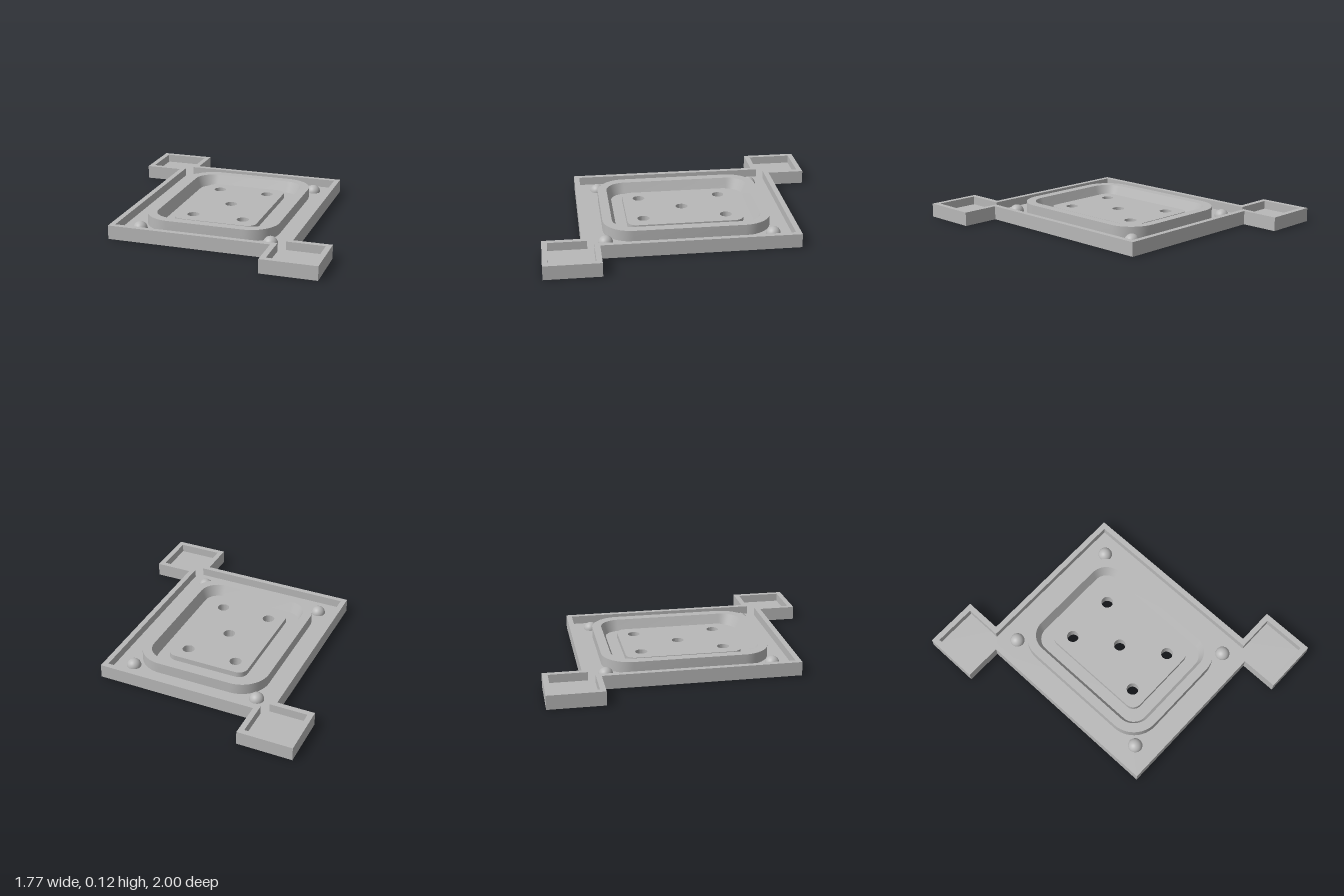
import * as THREE from 'three';
import { toCreasedNormals } from 'three/addons/utils/BufferGeometryUtils.js';

const FLOOR = 0.038, PAD_TOP = 0.076, RIM_TOP = 0.096, RING_TOP = 0.115;
const HOLES = [[0, 0], [-0.18, -0.29], [0.18, -0.29], [-0.18, 0.29], [0.18, 0.29]];

// Half an outline, completed by turning it 180 degrees about the centre
const turned = half => [...half, ...half.map(([x, z]) => [-x, -z])]
  .map(([x, z]) => new THREE.Vector2(x, z));

// Points of a rounded rectangle with half sizes a, b and corner radius r
function roundedRect(a, b, r, steps = 12) {
  const pts = [];
  [[1, 1], [-1, 1], [-1, -1], [1, -1]].forEach(([sx, sz], q) => {
    for (let i = 0; i <= steps; i++) {
      const t = (q + i / steps) * Math.PI / 2;
      pts.push(new THREE.Vector2(sx * (a - r) + r * Math.cos(t), sz * (b - r) + r * Math.sin(t)));
    }
  });
  return pts;
}

// Horizontal slab between two heights
function slab(points, holes, bottom, top) {
  const shape = new THREE.Shape(points);
  shape.holes.push(...holes);
  const geo = new THREE.ExtrudeGeometry(shape, { depth: top - bottom, bevelEnabled: false, curveSegments: 16 });
  geo.rotateX(Math.PI / 2).translate(0, top, 0);
  return toCreasedNormals(geo, 0.5);
}

const drillHoles = () => HOLES.map(([x, z]) => new THREE.Path().absarc(x, z, 0.042, 0, Math.PI * 2, true));

// Raised ring: upright outside, flat top, sloping inside
function ringGeometry() {
  const loops = [[0, FLOOR], [0, RING_TOP], [0.065, RING_TOP], [0.097, FLOOR]].map(([inset, y]) =>
    roundedRect(0.467, 0.58, 0.2 - inset, 12).map(p => {
      const k = new THREE.Vector3(p.x, y, p.y);
      return k;
    }).map((v, i) => {
      const q = roundedRect(0.467 - inset, 0.58 - inset, 0.2 - inset, 12)[i];
      return v.set(q.x, y, q.y);
    }));
  const pos = [], n = loops[0].length;
  for (let l = 0; l < loops.length - 1; l++) {
    for (let i = 0; i < n; i++) {
      const j = (i + 1) % n;
      const a = loops[l][i], b = loops[l][j], c = loops[l + 1][j], d = loops[l + 1][i];
      for (const v of [a, d, b, b, d, c]) pos.push(v.x, v.y, v.z);
    }
  }
  const geo = new THREE.BufferGeometry();
  geo.setAttribute('position', new THREE.Float32BufferAttribute(pos, 3));
  return toCreasedNormals(geo, 0.5);
}

export function createModel() {
  const group = new THREE.Group();
  const grey = new THREE.MeshStandardMaterial({ color: 0xb8b8b8 });
  grey.name = 'plain grey';
  const add = (name, geo) => {
    const mesh = new THREE.Mesh(geo, grey);
    mesh.name = name;
    group.add(mesh);
    return mesh;
  };

  const outer = turned([[-0.887, -0.617], [-0.887, -1], [-0.505, -1], [-0.505, -0.737], [0.625, -0.737], [0.625, 0.617]]);
  const inner = turned([[-0.849, -0.655], [-0.849, -0.962], [-0.543, -0.962], [-0.543, -0.699], [0.587, -0.699], [0.587, 0.655]]);

  // Tray with two corner tabs
  add('basePlate', slab(outer, drillHoles(), 0, FLOOR));
  add('rim', slab(outer, [new THREE.Path(inner)], FLOOR, RIM_TOP));

  // Raised ring around the drilled pad
  add('raisedRing', ringGeometry());
  add('drilledPad', slab(roundedRect(0.293, 0.405, 0.065, 8), drillHoles(), FLOOR, PAD_TOP));

  // Domed studs in the corners
  const dome = new THREE.SphereGeometry(0.05, 32, 12, 0, Math.PI * 2, 0, Math.PI / 2);
  for (const x of [-0.46, 0.46]) {
    for (const z of [-0.572, 0.572]) add('domedStud', dome).position.set(x, FLOOR, z);
  }
  return group;
}
